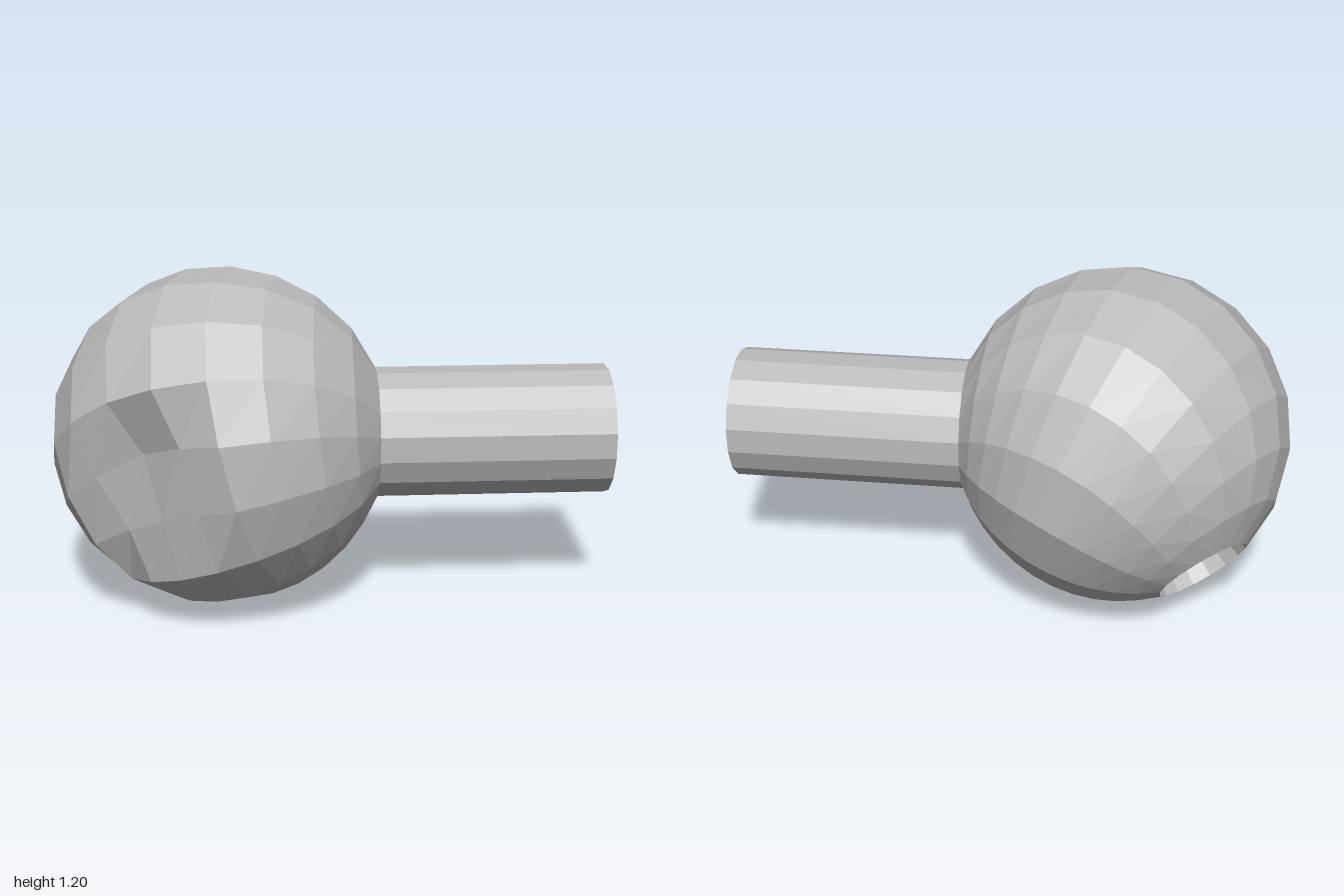
import * as THREE from 'three';

const SEG = 16;
const RINGS = 11;
const R = 0.605;
const NECK_R = 0.235;
const HOLE_R = 0.177;

export function createModel() {
  const group = new THREE.Group();
  const grey = new THREE.MeshStandardMaterial({ color: 0xbbbbbb, flatShading: true });
  grey.name = 'plain grey';

  // Frame of the rings, which tilt from the neck (+x) round to the socket
  const xAxis = new THREE.Vector3(1, 0, 0);
  const hole = new THREE.Vector3(-0.55, -0.585, -0.59).normalize();
  const w = new THREE.Vector3(0, -hole.y, -hole.z).normalize();
  const v = new THREE.Vector3().crossVectors(xAxis, w);
  const tilt = Math.acos(-hole.x);
  const neckAngle = Math.asin(NECK_R / R);
  const holeAngle = Math.PI - Math.asin(HOLE_R / R);

  // Crushed patch: a flat cut with two deeper pits and a ridge between them
  const dentNormal = new THREE.Vector3(-0.47, -0.09, 0.87).normalize();
  const dentDepth = 0.5;
  const pits = [[-0.23, 0.09, 0.36], [-0.22, -0.3, 0.33]].map((p) => new THREE.Vector3(...p));
  function crush(p) {
    const over = p.dot(dentNormal) - dentDepth;
    if (over <= 0) return p;
    p.addScaledVector(dentNormal, -over);
    let push = 0;
    for (const pit of pits) push = Math.max(push, 0.13 * (1 - p.distanceTo(pit) / 0.2));
    return p.addScaledVector(dentNormal, -push);
  }

  // One ring of points around the tilted axis
  const positions = [];
  function addRing(t, along, radius, dented) {
    const n = xAxis.clone().multiplyScalar(Math.cos(tilt * t)).addScaledVector(w, Math.sin(tilt * t));
    const u = xAxis.clone().multiplyScalar(-Math.sin(tilt * t)).addScaledVector(w, Math.cos(tilt * t));
    for (let j = 0; j < SEG; j++) {
      const phi = ((j + 0.5) / SEG) * Math.PI * 2;
      const p = n.clone().multiplyScalar(along)
        .addScaledVector(u, radius * Math.cos(phi))
        .addScaledVector(v, radius * Math.sin(phi));
      if (dented) crush(p);
      positions.push(p.x, p.y, p.z);
    }
  }

  // Skin the rings from start to end
  function skin(count) {
    const index = [];
    for (let i = 0; i < count - 1; i++) {
      for (let j = 0; j < SEG; j++) {
        const k = (j + 1) % SEG;
        const a = i * SEG + j, b = (i + 1) * SEG + j, c = (i + 1) * SEG + k, d = i * SEG + k;
        index.push(a, b, c, a, c, d);
      }
    }
    const geometry = new THREE.BufferGeometry();
    geometry.setAttribute('position', new THREE.Float32BufferAttribute(positions.splice(0), 3));
    geometry.setIndex(index);
    const flat = geometry.toNonIndexed();
    flat.computeVertexNormals();
    return flat;
  }

  function add(name, geometry, x) {
    const mesh = new THREE.Mesh(geometry, grey);
    mesh.name = name;
    mesh.position.set(x, 0.603, 0);
    group.add(mesh);
  }

  // Ball
  for (let i = 0; i <= RINGS; i++) {
    const t = i / RINGS;
    const a = THREE.MathUtils.lerp(neckAngle, holeAngle, t);
    addRing(t, R * Math.cos(a), R * Math.sin(a), true);
  }
  add('ball', skin(RINGS + 1), -0.392);

  // Rounded socket sunk into the ball
  const rim = R * Math.cos(holeAngle);
  const cupRings = 4;
  for (let i = 0; i <= cupRings; i++) {
    const a = (i / cupRings) * Math.PI / 2;
    addRing(1, rim + HOLE_R * Math.sin(a), HOLE_R * Math.cos(a), false);
  }
  add('socket', skin(cupRings + 1), -0.392);

  // Shaft
  const shaft = new THREE.CylinderGeometry(NECK_R, NECK_R, 0.835, SEG);
  shaft.rotateY(Math.PI / SEG).rotateZ(-Math.PI / 2);
  add('shaft', shaft, 0.5825);

  return group;
}
